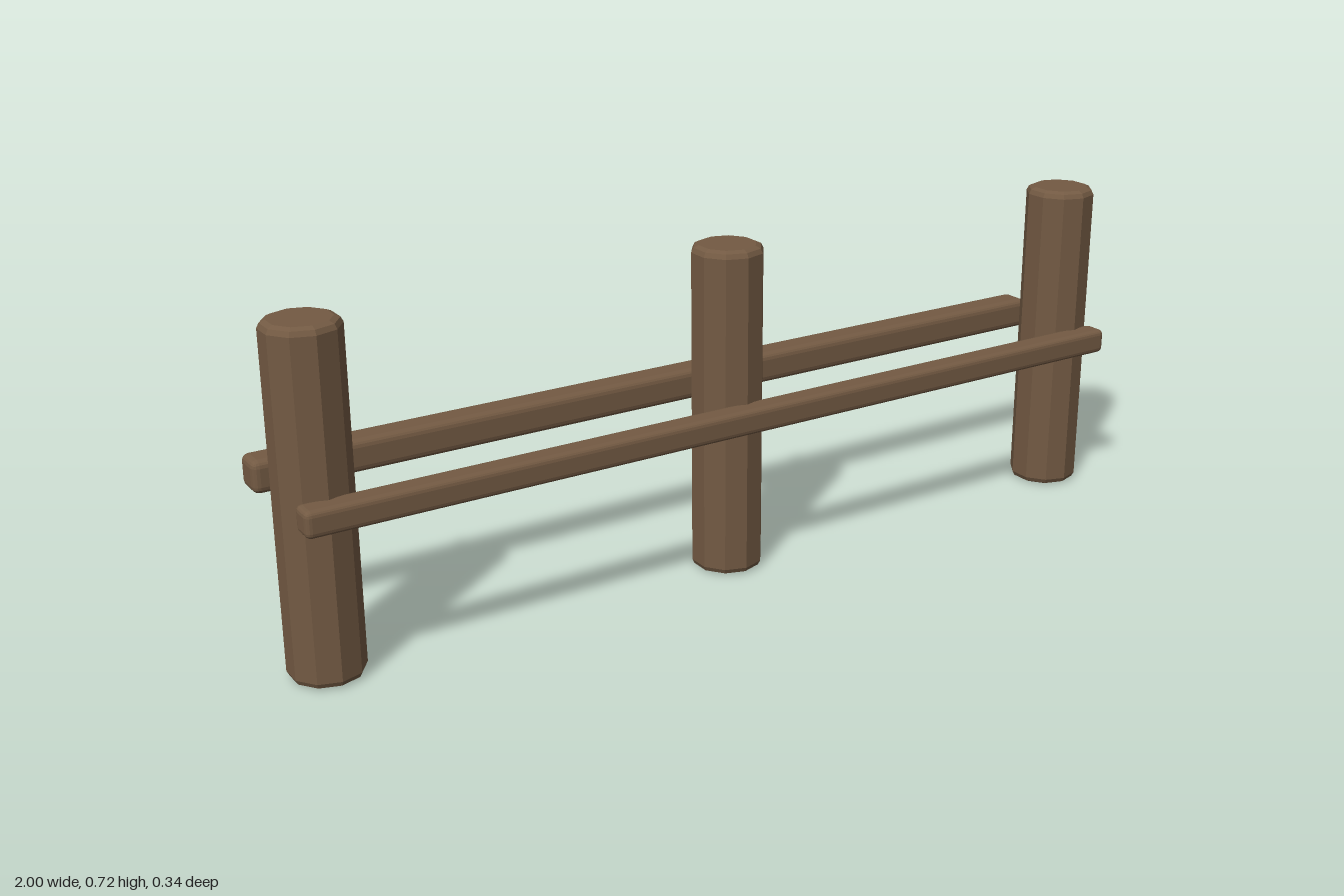
import * as THREE from 'three';
import { RoundedBoxGeometry } from 'three/addons/geometries/RoundedBoxGeometry.js';

export function createModel() {
  const group = new THREE.Group();
  const wood = new THREE.MeshStandardMaterial({ color: 0x735a43, flatShading: true });

  const add = (name, geometry, x, y, z) => {
    const mesh = new THREE.Mesh(geometry, wood);
    mesh.name = name;
    mesh.position.set(x, y, z);
    group.add(mesh);
  };

  // Ten-sided posts with bevelled ends
  const r = 0.0775, h = 0.72;
  const profile = [
    [0, 0], [r - 0.016, 0], [r - 0.005, 0.005], [r, 0.015],
    [r, h - 0.015], [r - 0.005, h - 0.005], [r - 0.016, h], [0, h],
  ].map(([x, y]) => new THREE.Vector2(x, y));
  const post = new THREE.LatheGeometry(profile, 10);
  add('rightPost', post, -0.926, 0, 0.055);
  add('middlePost', post, 0, 0, 0.055);
  add('leftPost', post, 0.926, 0, 0.055);

  // Long rails with softened edges; the rear one is thicker and stands clear of the posts
  add('frontRail', new RoundedBoxGeometry(1.974, 0.055, 0.056, 2, 0.012), 0, 0.362, 0.142);
  add('backRail', new RoundedBoxGeometry(1.974, 0.069, 0.07, 2, 0.015), 0, 0.362, -0.135);

  return group;
}
